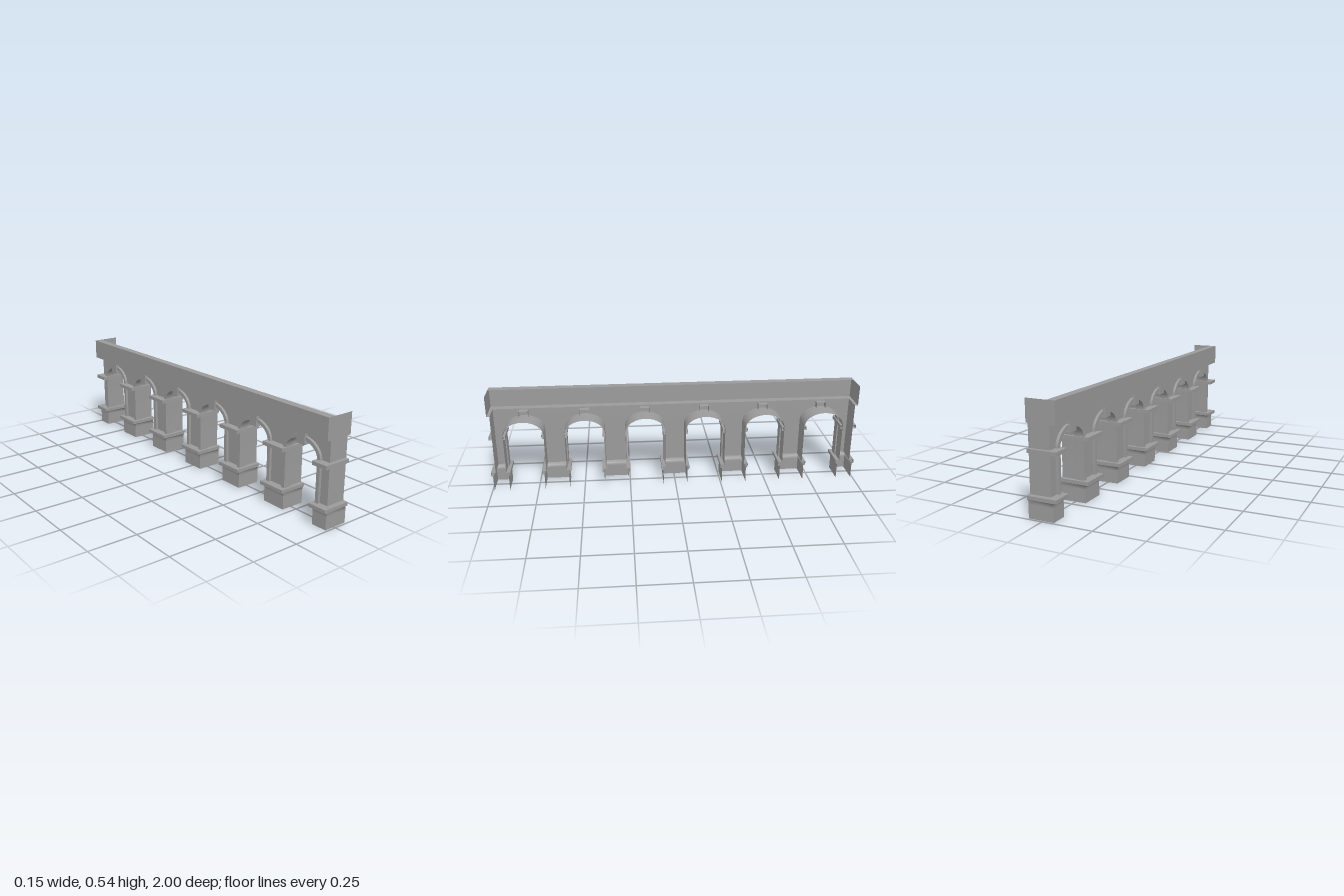
import * as THREE from 'three';
import { toCreasedNormals } from 'three/addons/utils/BufferGeometryUtils.js';

const X_WALL = -0.034, X_BACK = 0.074, END = 0.974;
const BAY = 0.3242, HALF_ARCH = 0.1068, SPRING = 0.318, RISE = 0.077;
const CAP_TOP = 0.108, WALL_TOP = 0.433, TOP = 0.542;
const mat = new THREE.MeshStandardMaterial({ color: 0x9b9b9b, side: THREE.DoubleSide });

function add(parent, name, geometry) {
  const mesh = new THREE.Mesh(geometry, mat);
  mesh.name = name;
  parent.add(mesh);
}

// Grid of cross-sections (rows of [x, y, z]) joined into a surface
function loft(rows, crease = 0.5) {
  const n = rows[0].length, index = [];
  for (let r = 0; r < rows.length - 1; r++) {
    for (let i = 0; i < n - 1; i++) {
      const a = r * n + i, b = a + 1, c = a + n, d = c + 1;
      index.push(a, c, b, b, c, d);
    }
  }
  const g = new THREE.BufferGeometry();
  g.setAttribute('position', new THREE.Float32BufferAttribute(rows.flat(2), 3));
  g.setIndex(index);
  return toCreasedNormals(g, crease);
}

// Moulding run round three sides, open at the back.
// Profile points: [front offset, offset at z1, offset at z2, y]
function threeSided(z1, z2, profile, crease) {
  return loft(profile.map(([f, a, b, y]) => [
    [X_BACK, y, z1 - a], [X_WALL - f, y, z1 - a],
    [X_WALL - f, y, z2 + b], [X_BACK, y, z2 + b],
  ]), crease);
}

// Arch outline in (z, y), widened by d, from foot to foot
function archPoints(centre, d) {
  const w = HALF_ARCH + d, pts = [new THREE.Vector2(centre - w, CAP_TOP)];
  for (let i = 0; i <= 24; i++) {
    const t = Math.PI * (1 - i / 24);
    pts.push(new THREE.Vector2(centre + w * Math.cos(t), SPRING + (RISE + d) * Math.sin(t)));
  }
  pts.push(new THREE.Vector2(centre + w, CAP_TOP));
  return pts;
}

// Turn a (z, y) drawing to face -x, its rear at the given x
const toWall = (g, x = X_WALL) => g.rotateY(-Math.PI / 2).translate(x, 0, 0);

// Arch-shaped band between two widths, from x = rear towards the front
function archBand(centre, outer, inner, rear, depth) {
  const shape = new THREE.Shape([...archPoints(centre, outer), ...archPoints(centre, inner).reverse()]);
  const g = new THREE.ExtrudeGeometry(shape, { depth, bevelEnabled: false });
  return toCreasedNormals(toWall(g, rear), 0.5);
}

export function createModel() {
  const model = new THREE.Group();
  model.name = 'arcade';
  const arches = [-2.5, -1.5, -0.5, 0.5, 1.5, 2.5].map((k) => k * BAY);

  // Front wall, its lower edge running up and over each arch
  const outline = [new THREE.Vector2(-END, WALL_TOP), new THREE.Vector2(-END, CAP_TOP)];
  arches.forEach((c) => outline.push(...archPoints(c, 0)));
  outline.push(new THREE.Vector2(END, CAP_TOP), new THREE.Vector2(END, WALL_TOP));
  add(model, 'frontWall', toWall(new THREE.ShapeGeometry(new THREE.Shape(outline))));

  // End walls
  for (const s of [-1, 1]) {
    const g = new THREE.PlaneGeometry(X_BACK - X_WALL, WALL_TOP - CAP_TOP);
    if (s < 0) g.rotateY(Math.PI);
    add(model, 'endWall', g.translate((X_BACK + X_WALL) / 2, (WALL_TOP + CAP_TOP) / 2, s * END));
  }

  // Parapet with soffit and a coping strip along the front
  add(model, 'parapet', threeSided(-END, END, [
    [0, 0, 0, WALL_TOP], [0.041, 0.016, 0.016, WALL_TOP], [0.041, 0.016, 0.016, TOP],
  ]));
  const coping = new THREE.PlaneGeometry(0.041, 2 * END + 0.032).rotateX(-Math.PI / 2);
  add(model, 'coping', coping.translate(X_WALL - 0.0205, TOP, 0));

  // Arches: vault with jambs, stepped inner rib, raised surround, keystone
  for (const c of arches) {
    const bay = new THREE.Group();
    bay.name = 'archBay';
    model.add(bay);

    const curve = archPoints(c, 0);
    add(bay, 'vault', loft([X_BACK, X_WALL].map((x) => curve.map((p) => [x, p.y, p.x]))));
    add(bay, 'innerRib', archBand(c, 0, -0.007, 0, -X_WALL));
    add(bay, 'archSurround', archBand(c, 0.012, -0.007, X_WALL, 0.014));

    // Keystone is a box left open at the back
    const key = new THREE.BoxGeometry(0.052, 0.06, 0.05);
    key.setIndex([...key.index.array].slice(6));
    key.clearGroups();
    add(bay, 'keystone', key.translate(-0.029, 0.396, c));
  }

  // Piers: plinth with cap, and impost moulding at the springing
  for (let i = 0; i <= 6; i++) {
    const z1 = i === 0 ? -END : arches[i - 1] + HALF_ARCH;
    const z2 = i === 6 ? END : arches[i] - HALF_ARCH;
    const a = i === 0 ? 0.005 : 0, b = i === 6 ? 0.005 : 0;
    const pier = new THREE.Group();
    pier.name = 'pier';
    model.add(pier);
    const base = (y) => [0.021, 0.011 + a, 0.011 + b, y];
    const cap = (y) => [0.041, 0.021 + a, 0.021 + b, y];
    const impost = (y) => [0.041, 0.012 + a, 0.012 + b, y];
    // the plinth blends softly into the flare under its cap
    add(pier, 'plinth', threeSided(z1, z2, [base(0), base(0.065), base(0.083), cap(0.09)], 1.4));
    add(pier, 'plinthCap', threeSided(z1, z2, [cap(0.09), cap(CAP_TOP), [0, 0, 0, CAP_TOP]]));
    add(pier, 'impost', threeSided(z1, z2, [
      [0, 0, 0, 0.299], impost(0.299), impost(SPRING), [0, 0, 0, SPRING],
    ]));
  }
  return model;
}
